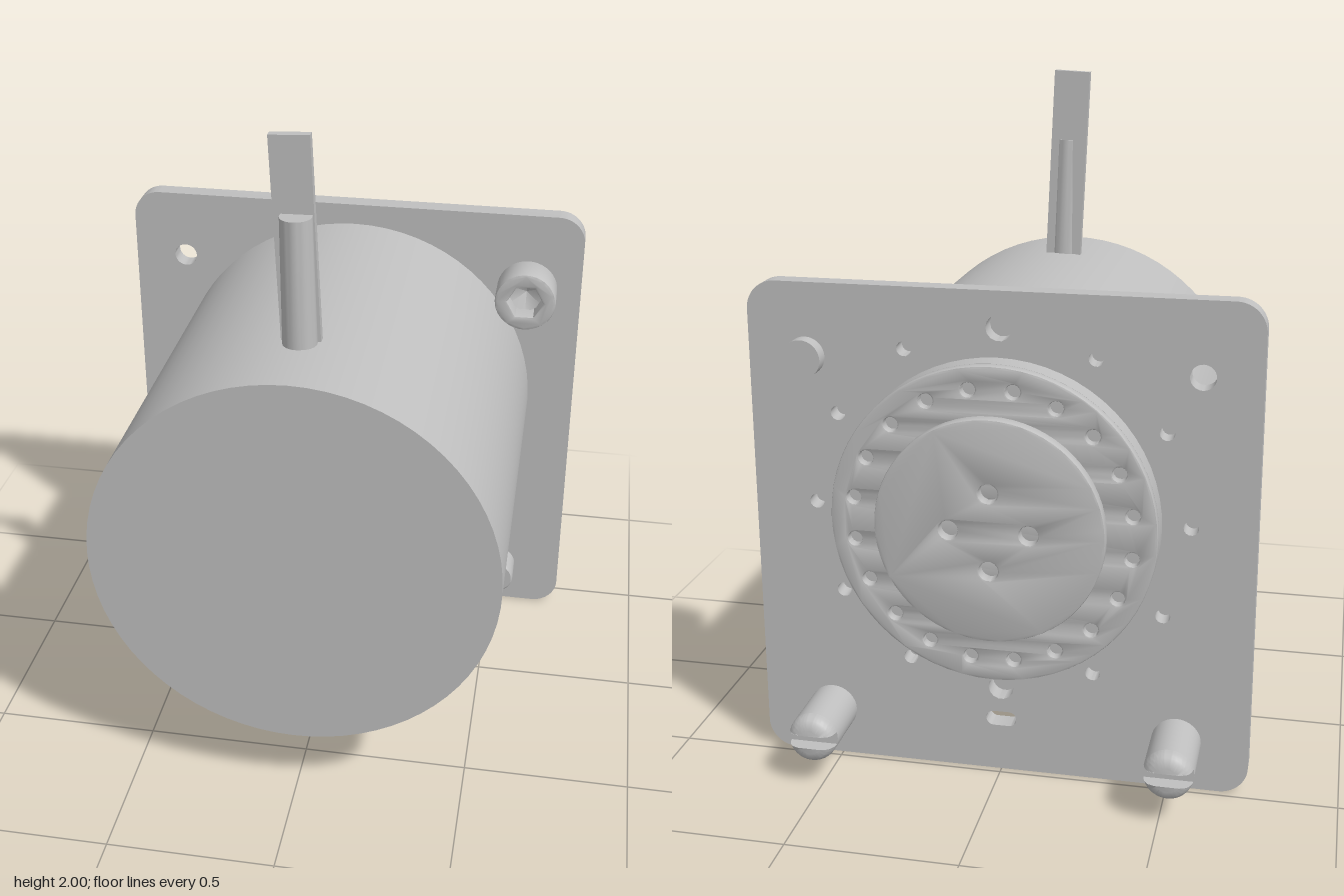
import * as THREE from 'three';
import { toCreasedNormals } from 'three/addons/utils/BufferGeometryUtils.js';

const metal = new THREE.MeshStandardMaterial({ color: 0xbfbfbf });
metal.name = 'grey metal';
const AXIS_Y = 0.82; // height of the main axis

function add(parent, name, geometry, x = 0, y = 0, z = 0) {
  const mesh = new THREE.Mesh(toCreasedNormals(geometry, 0.6), metal);
  mesh.name = name;
  mesh.position.set(x, y, z);
  parent.add(mesh);
  return mesh;
}

// Solid of revolution about z; profile points are [radius, z], z ascending
function turned(points, segments = 48) {
  const profile = points.map(([r, z]) => new THREE.Vector2(r, z));
  return new THREE.LatheGeometry(profile, segments).rotateX(Math.PI / 2);
}

const cylinder = (r, z0, z1, segments) => turned([[0, z0], [r, z0], [r, z1], [0, z1]], segments);

// Flat slab between two z positions with an optional edge chamfer
function slab(shape, z0, z1, bevel = 0, curveSegments = 32) {
  return new THREE.ExtrudeGeometry(shape, {
    depth: z1 - z0 - 2 * bevel, curveSegments, bevelEnabled: bevel > 0,
    bevelThickness: bevel, bevelSize: bevel, bevelOffset: -bevel, bevelSegments: 2,
  }).translate(0, 0, z0 + bevel);
}

function polygon(x, y, r, n) {
  const pts = [];
  for (let i = 0; i < n; i++) {
    const a = (i / n) * Math.PI * 2;
    pts.push(new THREE.Vector2(x + r * Math.cos(a), y + r * Math.sin(a)));
  }
  return pts;
}

const hole = (x, y, r, n = 14) => new THREE.Path(polygon(x, y, r, n));

// Ring of evenly spaced holes around a centre
function holeRing(shape, count, radius, r, cy = 0, offset = 0) {
  for (let i = 0; i < count; i++) {
    const a = offset + (i / count) * Math.PI * 2;
    const size = typeof r === 'function' ? r(i) : r;
    shape.holes.push(hole(radius * Math.cos(a), cy + radius * Math.sin(a), size));
  }
}

function mountingPlate() {
  const w = 0.737, h = 1.476, c = 0.085;
  const s = new THREE.Shape();
  s.moveTo(-w + c, 0).lineTo(w - c, 0);
  s.absarc(w - c, c, c, -Math.PI / 2, 0);
  s.absarc(w - c, h - c, c, 0, Math.PI / 2);
  s.absarc(-w + c, h - c, c, Math.PI / 2, Math.PI);
  s.absarc(-w + c, c, c, Math.PI, Math.PI * 1.5);
  // Bolt circle with larger holes at top and bottom, and one free corner hole
  holeRing(s, 12, 0.55, (i) => (i % 6 === 3 ? 0.038 : 0.022), AXIS_Y);
  s.holes.push(hole(-0.57, 1.26, 0.037, 24));
  const slot = new THREE.Path();
  slot.absarc(0.023, 0.167, 0.023, -Math.PI / 2, Math.PI / 2);
  slot.absarc(-0.023, 0.167, 0.023, Math.PI / 2, Math.PI * 1.5);
  s.holes.push(slot);
  return slab(s, -0.478, -0.418, 0, 8);
}

// One half of a rounded, slotted pin tip: a circle segment narrowed towards the end
function pinTipHalf(r, gap, z0, z1) {
  const a = Math.asin(gap / r);
  const s = new THREE.Shape();
  s.absarc(0, 0, r, a, Math.PI - a);
  s.closePath();
  const g = new THREE.ExtrudeGeometry(s, {
    depth: z1 - z0, steps: 6, curveSegments: 20, bevelEnabled: false,
  }).translate(0, 0, z0);
  const p = g.attributes.position;
  for (let i = 0; i < p.count; i++) {
    const t = (z1 - p.getZ(i)) / (z1 - z0);
    const k = 0.5 + 0.5 * Math.sqrt(Math.max(0, 1 - t * t));
    p.setX(i, p.getX(i) * k);
    p.setY(i, Math.max(p.getY(i) * k, gap));
  }
  return g;
}

function slottedPin(x) {
  const pin = new THREE.Group();
  pin.name = x > 0 ? 'leftSlottedPin' : 'rightSlottedPin';
  pin.position.set(x, 0.15, 0);
  add(pin, 'pinShank', turned([[0, -0.66], [0.073, -0.66], [0.073, -0.47], [0.058, -0.47],
    [0.058, -0.322], [0.053, -0.317], [0, -0.317]], 32));
  for (const turn of [0, Math.PI]) {
    add(pin, 'pinTip', pinTipHalf(0.073, 0.02, -0.705, -0.66)).rotation.z = turn;
  }
  return pin;
}

function socketScrew() {
  const screw = new THREE.Group();
  screw.name = 'socketScrew';
  screw.position.set(0.567, 1.26, 0);
  add(screw, 'screwShank', cylinder(0.057, -0.522, -0.33, 32));
  const head = new THREE.Shape(polygon(0, 0, 0.095, 40));
  head.holes.push(hole(0, 0, 0.056, 6));
  add(screw, 'screwHead', slab(head, -0.346, -0.23, 0.008));
  // Conical floor of the hexagonal socket
  add(screw, 'socketFloor', turned([[0, -0.32], [0.058, -0.285]].reverse(), 6));
  return screw;
}

function outputFlange() {
  const flange = new THREE.Group();
  flange.name = 'outputFlange';
  flange.position.y = AXIS_Y;
  add(flange, 'flangeNeck', cylinder(0.44, -0.495, -0.46, 64));
  add(flange, 'flangeBase', turned([[0, -0.56], [0.47, -0.56], [0.47, -0.495],
    [0.462, -0.487], [0, -0.487]], 64));
  const ring = new THREE.Shape(polygon(0, 0, 0.47, 64));
  holeRing(ring, 20, 0.405, 0.021, 0, Math.PI / 20);
  add(flange, 'flangeFace', slab(ring, -0.59, -0.555, 0.006));
  const hub = new THREE.Shape(polygon(0, 0, 0.33, 64));
  holeRing(hub, 4, 0.115, 0.028);
  add(flange, 'flangeHub', slab(hub, -0.63, -0.588, 0.006));
  return flange;
}

function cableTail() {
  const tail = new THREE.Group();
  tail.name = 'cableTail';
  const lean = 0.045;
  const sleeve = add(tail, 'cableSleeve',
    new THREE.CylinderGeometry(0.045, 0.05, 0.48, 28), -0.018, 1.54, 0.447);
  sleeve.rotation.z = 0.02;
  const strip = add(tail, 'cableStrip',
    new THREE.BoxGeometry(0.113, 0.7, 0.026), -0.026, 1.648, 0.421);
  strip.rotation.z = lean;
  return tail;
}

export function createModel() {
  const model = new THREE.Group();
  model.name = 'flangedMotor';
  add(model, 'motorBody', cylinder(0.59, -0.42, 0.7, 72), 0, AXIS_Y, 0);
  add(model, 'mountingPlate', mountingPlate());
  model.add(outputFlange(), socketScrew(), slottedPin(0.525), slottedPin(-0.525), cableTail());
  return model;
}
